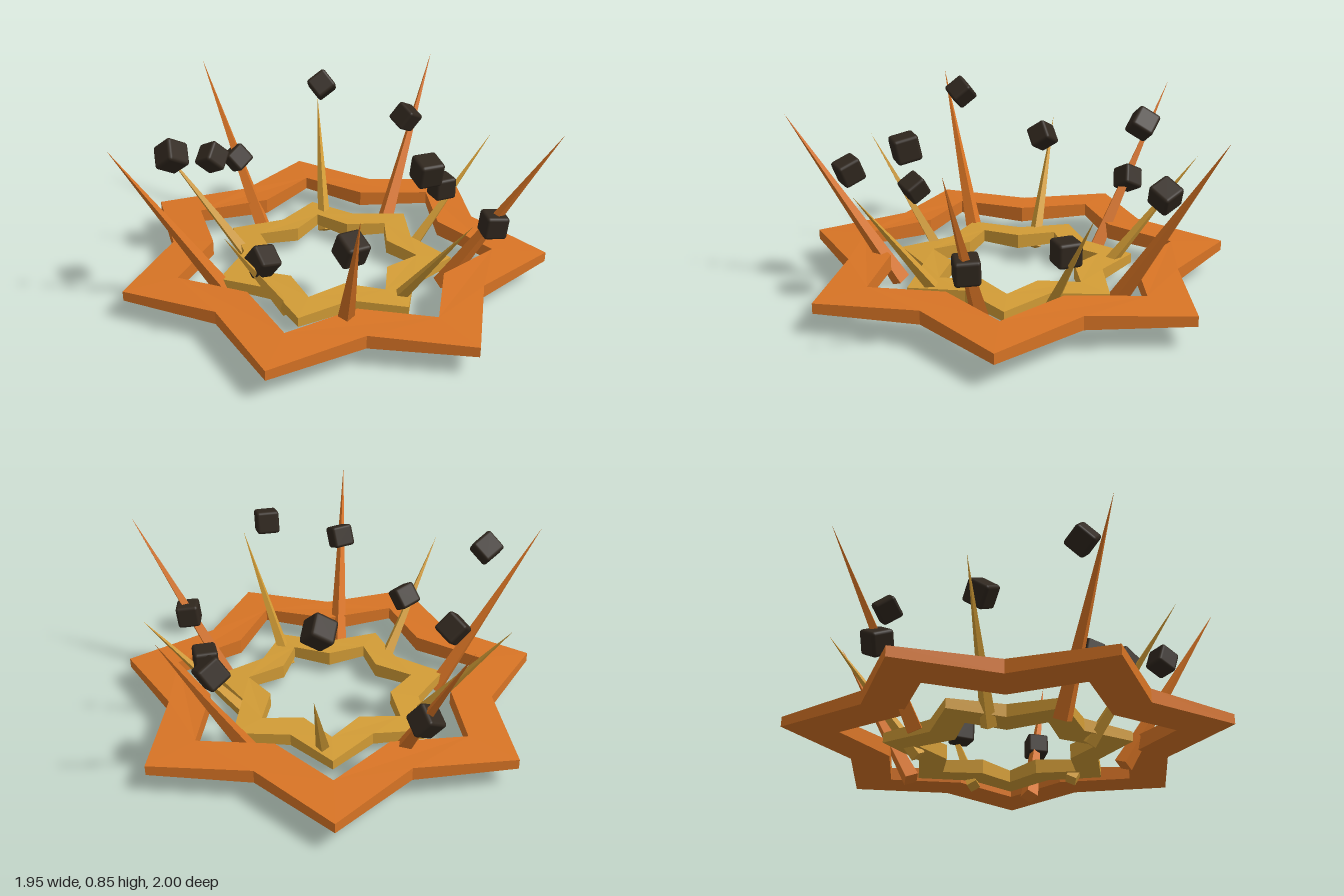
import * as THREE from 'three';
import { RoundedBoxGeometry } from 'three/addons/geometries/RoundedBoxGeometry.js';

const CENTER_X = 0.055;

function material(name, color) {
  const m = new THREE.MeshStandardMaterial({ color });
  m.name = name;
  return m;
}

// Closed seven-pointed outline, one tip pointing to -x
function starPoints(tip, valley) {
  return Array.from({ length: 14 }, (_, i) => {
    const a = Math.PI + (i * Math.PI) / 7;
    const r = i % 2 ? valley : tip;
    return new THREE.Vector2(r * Math.cos(a), r * Math.sin(a));
  });
}

// Flat star frame, thick at its innermost corners and thinner towards the tips
function starRing({ outer, inner, bottom, top }) {
  const shape = new THREE.Shape(starPoints(...outer));
  shape.holes.push(new THREE.Path(starPoints(...inner)));
  const geo = new THREE.ExtrudeGeometry(shape, { depth: 1, bevelEnabled: false });
  geo.rotateX(-Math.PI / 2);
  const pos = geo.attributes.position;
  for (let i = 0; i < pos.count; i++) {
    const r = Math.hypot(pos.getX(i), pos.getZ(i));
    const t = (r - inner[1]) / (outer[0] - inner[1]);
    const range = pos.getY(i) > 0.5 ? top : bottom;
    pos.setY(i, THREE.MathUtils.lerp(range[0], range[1], t));
  }
  geo.computeVertexNormals();
  return geo;
}

// Four-sided spike leaning outwards in the xy plane, from base to tip
function spikeGeometry(base, tip, radius) {
  const dx = tip[0] - base[0], dy = tip[1] - base[1];
  const length = Math.hypot(dx, dy);
  const geo = new THREE.ConeGeometry(radius, length, 4).toNonIndexed();
  geo.computeVertexNormals();
  geo.translate(0, length / 2, 0);
  geo.rotateZ(-Math.atan2(dx, dy));
  geo.translate(base[0], base[1], 0);
  return geo;
}

export function createModel() {
  const orange = material('burnt orange', 0xd87425);
  const gold = material('gold', 0xd29c36);
  const charcoal = material('charcoal', 0x30271e);

  const model = new THREE.Group();
  model.name = 'starBurst';
  const body = new THREE.Group();
  body.name = 'burst';
  body.position.x = CENTER_X;
  model.add(body);

  const add = (name, geo, mat) => {
    const mesh = new THREE.Mesh(geo, mat);
    mesh.name = name;
    body.add(mesh);
    return mesh;
  };

  // Star frames
  add('outerStar', starRing({
    outer: [1.026, 0.775], inner: [0.77, 0.58], bottom: [0.095, 0.103], top: [0.171, 0.15],
  }), orange);
  add('innerStar', starRing({
    outer: [0.575, 0.43], inner: [0.41, 0.295], bottom: [0.055, 0.064], top: [0.125, 0.11],
  }), gold);

  // Alternating short gold and tall orange spikes, with a floating chunk over each
  const tall = spikeGeometry([0.537, 0.023], [1.03, 0.84], 0.045);
  const short = spikeGeometry([0.41, 0.025], [0.855, 0.61], 0.036);
  const chunkGeo = new RoundedBoxGeometry(0.11, 0.11, 0.11, 2, 0.015);
  for (let k = 0; k < 10; k++) {
    const a = (k * Math.PI) / 5;
    const isTall = k % 2 === 1;
    const spike = add(isTall ? 'tallSpike' : 'shortSpike', isTall ? tall : short, isTall ? orange : gold);
    spike.rotation.y = a;

    const r = isTall ? 0.757 : 0.59;
    const chunk = add('chunk', chunkGeo, charcoal);
    chunk.position.set(r * Math.cos(a), 0.37 + 0.2 * (k % 3), -r * Math.sin(a));
    chunk.rotation.set(k * 0.4, k * 0.2, k);
  }
  return model;
}
